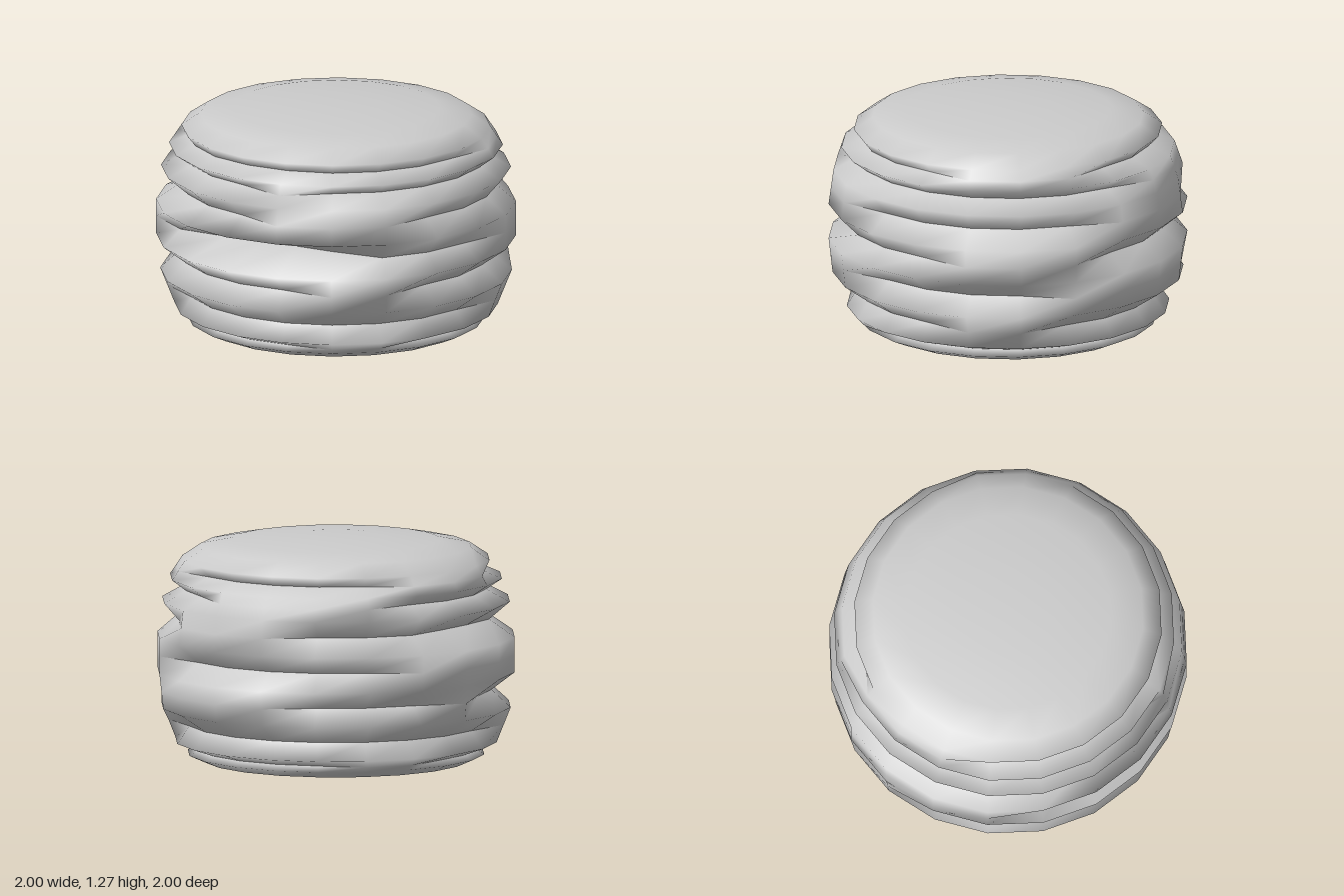
import * as THREE from 'three';

const SIDES = 20;
const angleOf = k => 9 + 18 * k; // degrees from the front, towards +x

// Bulging layers from the bottom up: [height, radius]
const RIDGES = [[0.04, 0.84], [0.11, 0.91], [0.31, 0.99], [0.51, 1.0125],
  [0.71, 1.0125], [0.91, 0.985], [1.04, 0.94], [1.145, 0.87]];

// Grooves between the layers: height and cut arcs [from, to, depth] in degrees
const GROOVES = [
  { y: 0.07, arcs: [[-100, 12, 0.07], [62, 215, 0.08]] },
  { y: 0.21, arcs: [[-48, 82, 0.1], [135, 280, 0.11]] },
  { y: 0.41, arcs: [[-85, 20, 0.12], [62, 132, 0.13], [195, 255, 0.12]] },
  { y: 0.61, arcs: [[-12, 12, 0.35], [20, 30, 0.27], [-30, -20, 0.27], [-48, 85, 0.1], [145, 240, 0.12]] },
  { y: 0.81, arcs: [[-102, -78, 0.19], [-110, -8, 0.13], [58, 142, 0.1], [200, 250, 0.12]] },
  { y: 0.98, arcs: [[-120, -8, 0.11], [26, 166, 0.1]] },
  { y: 1.09, arcs: [[-12, 12, 0.09], [-65, 82, 0.08], [136, 235, 0.09]] },
];

// Depth of a groove at one column; the first matching arc wins
function cut(groove, k) {
  for (const [from, to, depth] of groove.arcs) {
    for (const turn of [-360, 0, 360]) {
      const a = angleOf(k) + turn;
      if (a >= from && a <= to) return depth;
    }
  }
  return 0;
}

export function createModel() {
  // Rows of the skin; groove rows are doubled so the fold stays sharp
  const rows = [];
  const folds = [];
  const ring = (y, r) => rows.push({ y, r: () => r });
  ring(0, 0.75);
  RIDGES.forEach(([y, r], i) => {
    ring(y, r);
    const groove = GROOVES[i];
    if (!groove) return;
    const [y2, r2] = RIDGES[i + 1];
    const t = (groove.y - y) / (y2 - y);
    const row = { y: groove.y, r: k => r + (r2 - r) * t - cut(groove, k) };
    folds.push({ row: rows.length, groove });
    rows.push(row, row);
  });
  ring(1.215, 0.765);
  ring(1.25, 0.585);
  ring(1.268, 0.26);

  const positions = [];
  for (const row of rows) {
    for (let k = 0; k < SIDES; k++) {
      const a = THREE.MathUtils.degToRad(angleOf(k));
      const r = row.r(k);
      positions.push(r * Math.sin(a), row.y, r * Math.cos(a));
    }
  }
  const topCentre = positions.length / 3;
  positions.push(0, 1.27, 0);

  const index = [];
  for (let j = 0; j < rows.length - 1; j++) {
    if (rows[j] === rows[j + 1]) continue;
    for (let k = 0; k < SIDES; k++) {
      const a = j * SIDES + k, b = j * SIDES + (k + 1) % SIDES;
      index.push(a, b, b + SIDES, a, b + SIDES, a + SIDES);
    }
  }
  const last = (rows.length - 1) * SIDES;
  for (let k = 0; k < SIDES; k++) index.push(last + k, last + (k + 1) % SIDES, topCentre);

  const geometry = new THREE.BufferGeometry();
  geometry.setAttribute('position', new THREE.Float32BufferAttribute(positions, 3));
  geometry.setIndex(index);
  geometry.computeVertexNormals();

  // Blend the normals where a groove is closed, so the layers merge smoothly
  const normals = geometry.attributes.normal;
  for (const { row, groove } of folds) {
    for (let k = 0; k < SIDES; k++) {
      if (cut(groove, k)) continue;
      const lower = row * SIDES + k, upper = lower + SIDES;
      const n = new THREE.Vector3().fromBufferAttribute(normals, lower)
        .add(new THREE.Vector3().fromBufferAttribute(normals, upper)).normalize();
      normals.setXYZ(lower, n.x, n.y, n.z);
      normals.setXYZ(upper, n.x, n.y, n.z);
    }
  }

  const material = new THREE.MeshStandardMaterial({ color: 0xcccccc });
  const group = new THREE.Group();
  group.name = 'layeredDrum';

  const body = new THREE.Mesh(geometry, material);
  body.name = 'layeredBody';
  group.add(body);

  // Flat underside
  const base = new THREE.Mesh(new THREE.CircleGeometry(0.75, SIDES, Math.PI / SIDES), material);
  base.name = 'underside';
  base.rotation.x = Math.PI / 2;
  group.add(base);

  return group;
}
